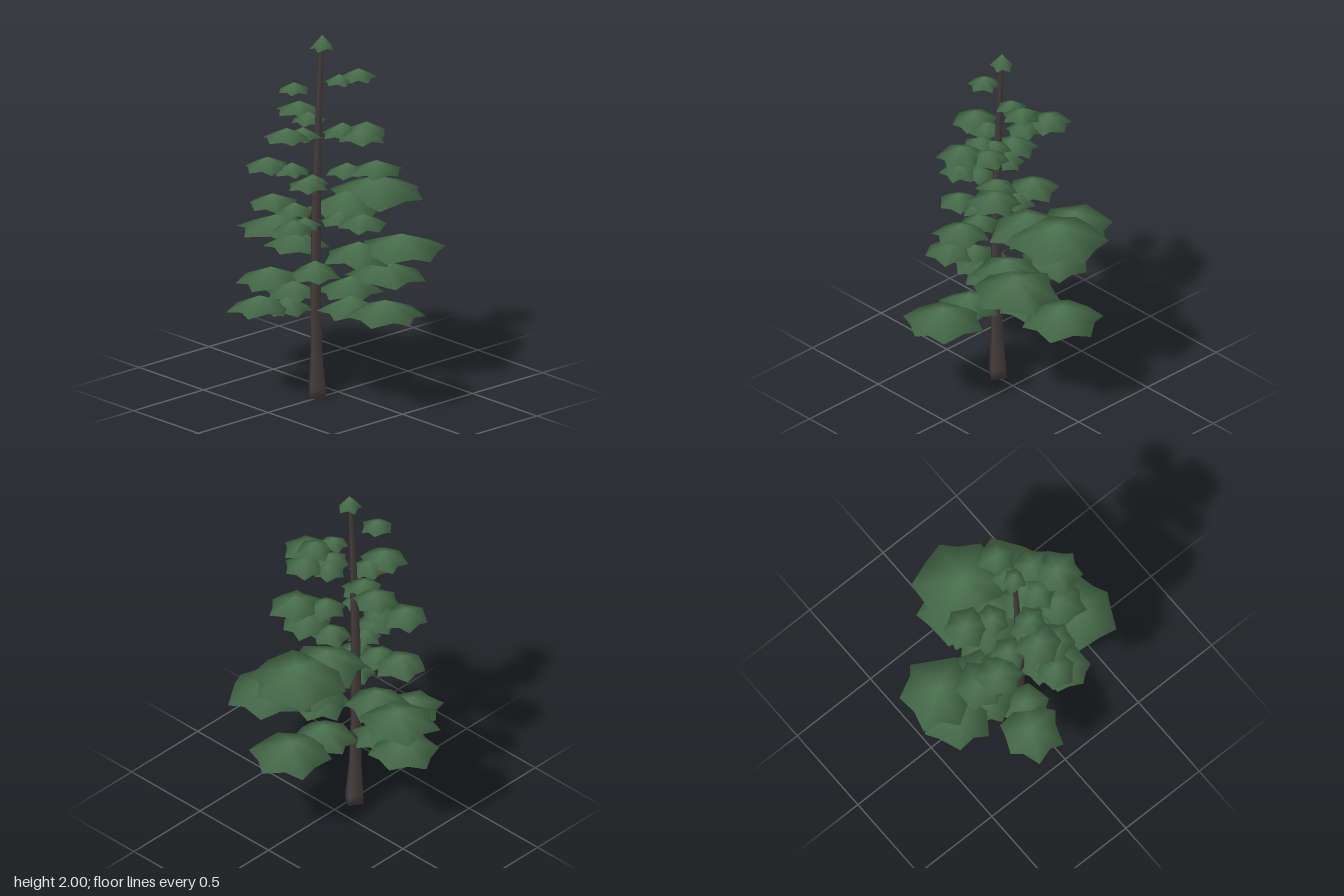
import * as THREE from 'three';
import { mergeVertices } from 'three/addons/utils/BufferGeometryUtils.js';

const leaf = new THREE.MeshStandardMaterial({ color: 0x4c7350 });
leaf.name = 'pine green';
const bark = new THREE.MeshStandardMaterial({ color: 0x443c3c });
bark.name = 'dark bark';

// small seeded generator for the ragged rims
let seed = 11;
const rand = () => (seed = (seed * 16807) % 2147483647) / 2147483647;

// linear lookup in a table of [y, value] rows
function lookup(table, y, k) {
  let i = 1;
  while (i < table.length - 1 && table[i][0] < y) i++;
  const a = table[i - 1], b = table[i];
  return THREE.MathUtils.lerp(a[k], b[k], (y - a[0]) / (b[0] - a[0]));
}

// y, centre x, radius
const TRUNK = [
  [0, -0.131, 0.059], [0.25, -0.139, 0.039], [0.5, -0.144, 0.035], [1, -0.142, 0.031],
  [1.25, -0.134, 0.027], [1.6, -0.121, 0.021], [1.95, -0.103, 0.014],
];
const TRUNK_Z = -0.017;

// leaning, tapered four-sided trunk with a flared foot and softened corners
function makeTrunk() {
  let g = new THREE.CylinderGeometry(1, 1, 1.95, 4, 39, false, 0.19);
  g.translate(0, 0.975, 0);
  const p = g.attributes.position;
  for (let i = 0; i < p.count; i++) {
    const y = p.getY(i), r = lookup(TRUNK, y, 2);
    p.setXYZ(i, p.getX(i) * r + lookup(TRUNK, y, 1), y, p.getZ(i) * r + TRUNK_Z);
  }
  g.deleteAttribute('uv');
  g.deleteAttribute('normal');
  g = mergeVertices(g);
  g.computeVertexNormals();
  const m = new THREE.Mesh(g, bark);
  m.name = 'trunk';
  return m;
}

// foliage pad: star-shaped cone with drooping tips and a hollow underside, smooth over the rim
function makePad(name, x, z, r, apexY, h, tips = 6) {
  const n = tips * 2, pos = [0, 0, 0, 0, -h * 0.72, 0], idx = [], a0 = rand() * Math.PI * 2;
  for (let i = 0; i < n; i++) {
    const tip = i % 2 === 0;
    const a = a0 + ((i + (rand() - 0.5) * 0.5) / n) * Math.PI * 2;
    const q = r * (tip ? 0.95 + rand() * 0.17 : 0.79 + rand() * 0.07);
    pos.push(Math.cos(a) * q, tip ? -h : -h * 0.8, Math.sin(a) * q);
    const cur = 2 + i, next = 2 + ((i + 1) % n);
    idx.push(0, next, cur, 1, cur, next);
  }
  const g = new THREE.BufferGeometry();
  g.setAttribute('position', new THREE.Float32BufferAttribute(pos, 3));
  g.setIndex(idx);
  g.computeVertexNormals();
  const m = new THREE.Mesh(g, leaf);
  m.position.set(x, apexY, z);
  m.name = name;
  return m;
}

// each tier lists its branches: outer pad x, z, radius, apex height
const TIERS = [
  [[0.35, -0.02, 0.22, 0.64], [-0.07, 0.44, 0.21, 0.635], [-0.41, -0.16, 0.17, 0.59], [-0.1, -0.41, 0.19, 0.615]],
  [[0.25, 0.22, 0.24, 0.875], [-0.01, -0.455, 0.21, 0.875], [-0.31, 0.15, 0.14, 0.815]],
  [[0.31, -0.03, 0.265, 1.12], [-0.09, 0.29, 0.14, 1.08], [-0.18, -0.31, 0.14, 1.065], [-0.36, 0.05, 0.11, 1.045]],
  [[0.08, 0.21, 0.14, 1.32], [-0.265, -0.26, 0.125, 1.3], [-0.3, 0.09, 0.11, 1.28]],
  [[-0.09, 0.285, 0.13, 1.56], [0.02, 0.2, 0.115, 1.545], [-0.02, -0.28, 0.12, 1.55], [-0.33, -0.04, 0.125, 1.53]],
  [[0.11, 0.04, 0.1, 1.78], [-0.27, -0.05, 0.085, 1.768]],
];

export function createModel() {
  const tree = new THREE.Group();
  tree.name = 'pineTree';
  tree.add(makeTrunk());
  TIERS.forEach((branches, t) => {
    const tier = new THREE.Group();
    tier.name = `foliageTier${t + 1}`;
    for (const [x, z, r, y] of branches) {
      tier.add(makePad('outerPad', x, z, r, y, 0.022 + 0.32 * r));
      // smaller pad halfway back to the trunk, except on the shortest twig
      if (r < 0.09) continue;
      const tx = lookup(TRUNK, y, 1), ri = r * 0.78;
      tier.add(makePad('innerPad', tx + (x - tx) * 0.5, TRUNK_Z + (z - TRUNK_Z) * 0.5, ri, y - 0.1 * r - 0.004, 0.012 + 0.46 * ri));
    }
    tree.add(tier);
  });
  // pointed crown
  tree.add(makePad('crown', -0.098, -0.015, 0.063, 2, 0.08, 5));
  return tree;
}
